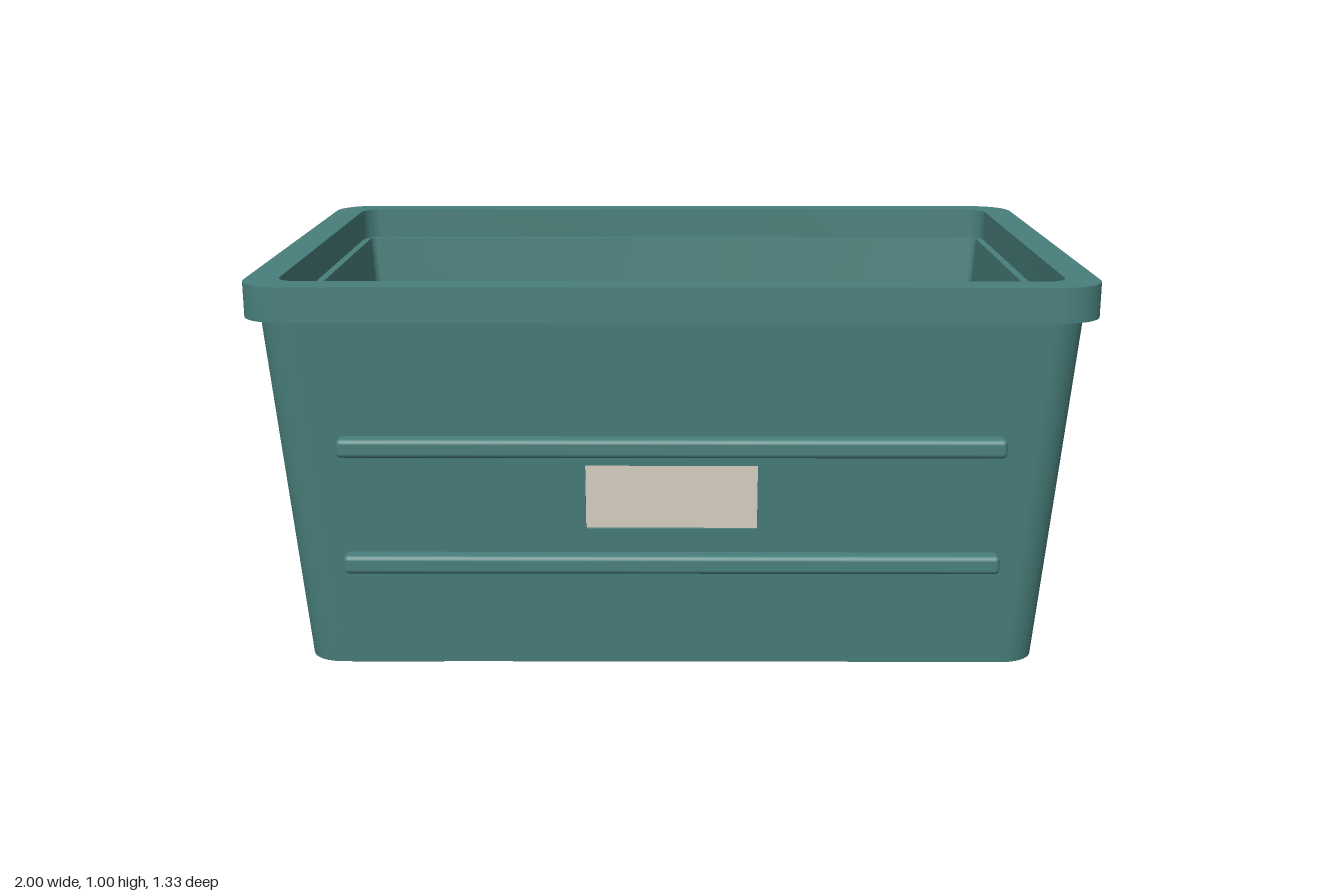
import * as THREE from 'three';
import { toCreasedNormals } from 'three/addons/utils/BufferGeometryUtils.js';
import { RoundedBoxGeometry } from 'three/addons/geometries/RoundedBoxGeometry.js';

const HX = 0.9, HZ = 0.57;            // half size of the base
const R = 0.08, T = 0.062;            // corner radius, wall thickness
const Y0 = 0.045, FLOOR = 0.09, RIM = 0.92, TOP = 1.003;
const SLOPE = 0.0743;                 // outward lean of every wall
const lean = y => SLOPE * (y - Y0);

function roundedRect(target, cx, cy, hw, hh, r) {
  target.absarc(cx + hw - r, cy + hh - r, r, 0, Math.PI / 2);
  target.absarc(cx - hw + r, cy + hh - r, r, Math.PI / 2, Math.PI);
  target.absarc(cx - hw + r, cy - hh + r, r, Math.PI, Math.PI * 1.5);
  target.absarc(cx + hw - r, cy - hh + r, r, Math.PI * 1.5, Math.PI * 2);
  target.closePath();
  return target;
}

function extrude(shape, depth) {
  return new THREE.ExtrudeGeometry(shape, { depth, bevelEnabled: false, curveSegments: 10 });
}

function moveVertices(geometry, rule) {
  const p = geometry.attributes.position, v = new THREE.Vector3();
  for (let i = 0; i < p.count; i++) {
    rule(v.fromBufferAttribute(p, i));
    p.setXYZ(i, v.x, v.y, v.z);
  }
  return toCreasedNormals(geometry, 0.5);
}

// Plan outline raised from y0 to y1, optionally following the lean of the walls
function raised(shape, y0, y1, tapered) {
  const g = extrude(shape, y1 - y0).rotateX(-Math.PI / 2).translate(0, y0, 0);
  return moveVertices(g, v => {
    if (!tapered) return;
    v.x += Math.sign(v.x) * lean(v.y);
    v.z += Math.sign(v.z) * lean(v.y);
  });
}

// Upright outline laid on the +x wall, from offset d0 to d1 off its outer face
function onEnd(shape, d0, d1) {
  const g = extrude(shape, d1 - d0).rotateY(Math.PI / 2).translate(HX + d0, 0, 0);
  return moveVertices(g, v => { v.x += lean(v.y); });
}

export function createModel() {
  const model = new THREE.Group();
  model.name = 'storageBin';
  const teal = new THREE.MeshStandardMaterial({ color: 0x487f7b });
  teal.name = 'tealPlastic';
  const beige = new THREE.MeshStandardMaterial({ color: 0xddd4c6 });
  beige.name = 'beigeLabel';

  const add = (name, geometry, parent = model, material = teal) => {
    const mesh = new THREE.Mesh(geometry, material);
    mesh.name = name;
    parent.add(mesh);
    return mesh;
  };

  // Floor and rim
  add('floor', raised(roundedRect(new THREE.Shape(), 0, 0, HX, HZ, R), Y0, FLOOR, true));
  const rim = roundedRect(new THREE.Shape(), 0, 0, 1, 0.665, 0.1);
  rim.holes.push(roundedRect(new THREE.Path(), 0, 0, 0.922, 0.587, 0.05));
  add('rim', raised(rim, RIM, TOP, false));

  // Long wall with its two rounded corners
  const cx = HX - R, cz = HZ - R, ri = R - T;
  const long = new THREE.Shape();
  long.moveTo(HX, cz);
  long.absarc(cx, cz, R, 0, Math.PI / 2);
  long.absarc(-cx, cz, R, Math.PI / 2, Math.PI);
  long.lineTo(-cx - ri, cz);
  long.absarc(-cx, cz, ri, Math.PI, Math.PI / 2, true);
  long.absarc(cx, cz, ri, Math.PI / 2, 0, true);
  long.closePath();
  const longWall = raised(long, FLOOR, RIM, true);

  // End wall with handle opening, and the raised surround
  const end = new THREE.Shape();
  const b = cz + lean(FLOOR), t = cz + lean(RIM);
  end.moveTo(-b, FLOOR).lineTo(b, FLOOR).lineTo(t, RIM).lineTo(-t, RIM).closePath();
  const opening = () => roundedRect(new THREE.Path(), 0, 0.798, 0.286, 0.077, 0.06);
  end.holes.push(opening());
  const endWall = onEnd(end, -T, 0);
  const surround = roundedRect(new THREE.Shape(), 0, 0.798, 0.32, 0.11, 0.085);
  surround.holes.push(opening());
  const handleFrame = onEnd(surround, -0.005, 0.025);

  // Walls, ribs and handles, repeated by a half turn
  ['front', 'back'].forEach((side, i) => {
    const half = new THREE.Group();
    half.name = side + 'Half';
    half.rotation.y = i * Math.PI;
    model.add(half);
    add('longWall', longWall, half);
    add('endWall', endWall, half);
    add('handleFrame', handleFrame, half);
    for (const y of [0.317, 0.614]) {
      const rib = add('rib', new RoundedBoxGeometry(1.58, 0.046, 0.05, 2, 0.012), half);
      rib.position.set(0, y, HZ + lean(y) + 0.013);
    }
  });

  // Label holder on the front, tilted with the wall
  const holder = new THREE.Group();
  holder.name = 'labelHolder';
  holder.position.set(0, 0.487, HZ + lean(0.487));
  holder.rotation.x = Math.atan(SLOPE);
  model.add(holder);
  const frame = roundedRect(new THREE.Shape(), 0, 0, 0.238, 0.106, 0.004);
  frame.holes.push(roundedRect(new THREE.Path(), 0, 0, 0.205, 0.081, 0.002));
  add('labelFrame', extrude(frame, 0.016).translate(0, 0, -0.003), holder);
  add('label', new THREE.BoxGeometry(0.41, 0.162, 0.008).translate(0, 0, 0.002), holder, beige);

  // Four feet
  for (const x of [-0.702, 0.702]) for (const z of [-0.4, 0.4]) {
    add('foot', new RoundedBoxGeometry(0.265, 0.05, 0.15, 2, 0.01), model).position.set(x, 0.025, z);
  }
  return model;
}
